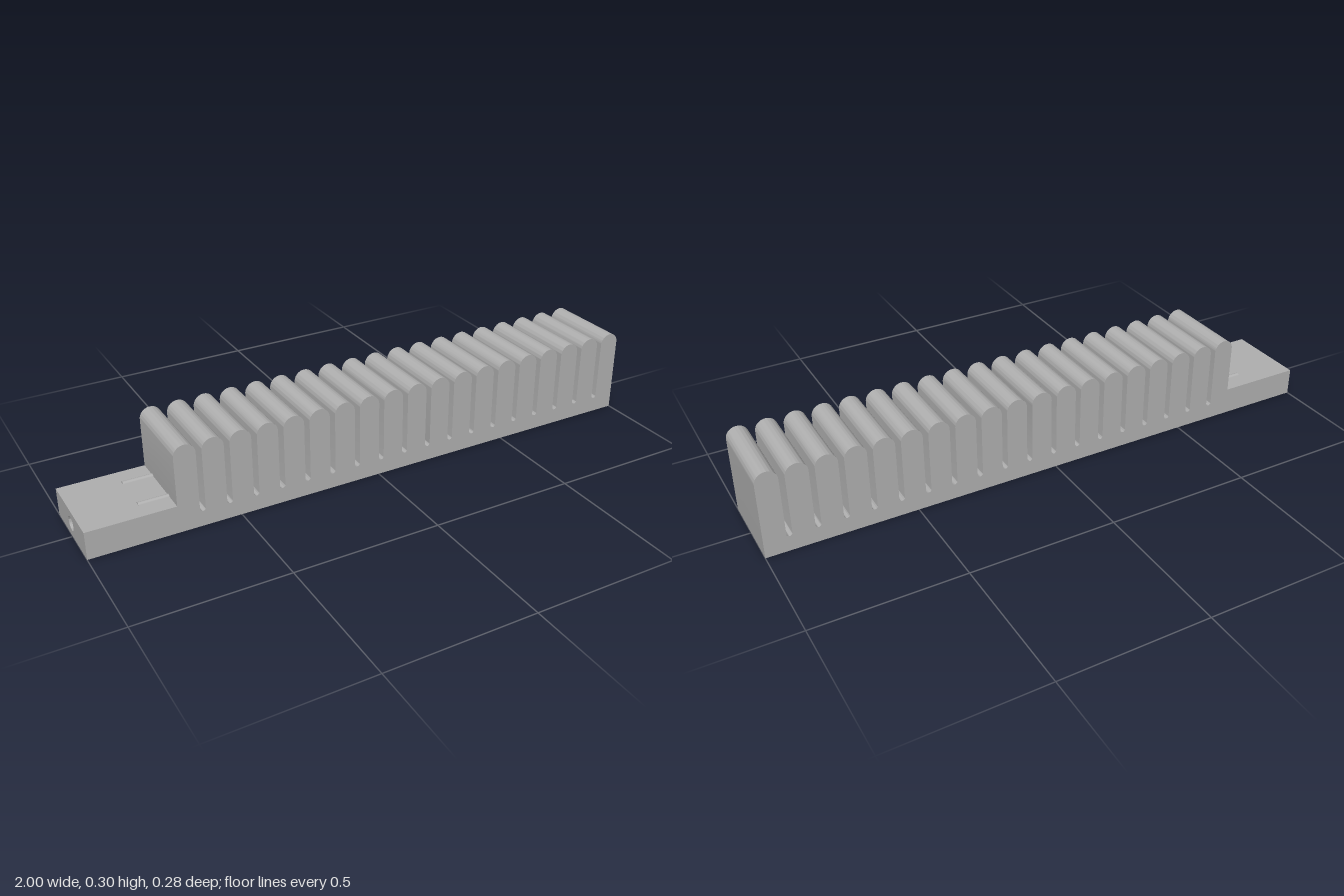
import * as THREE from 'three';
import { toCreasedNormals } from 'three/addons/utils/BufferGeometryUtils.js';

const HALF_DEPTH = 0.142, BASE_TOP = 0.095, TOP = 0.299;
const FINS = 19, FIN_W = 0.072, GAP = 0.019, SLOT_FLOOR = 0.053;
const JOINT_X = -0.84; // where the drilled end block meets the finned body

export function createModel() {
  const group = new THREE.Group();
  group.name = 'finnedBlock';
  const grey = new THREE.MeshStandardMaterial({ color: 0xb0b0b0 });
  grey.name = 'grey';

  const add = (geometry, name) => {
    const mesh = new THREE.Mesh(geometry, grey);
    mesh.name = name;
    group.add(mesh);
    return mesh;
  };
  const extrude = (shape, depth) =>
    new THREE.ExtrudeGeometry(shape, { depth, bevelEnabled: false, curveSegments: 20 });

  // Finned body: round-topped fins with round-bottomed slots, traced from +x to -x
  const r = FIN_W / 2, slotR = GAP / 2;
  const profile = new THREE.Shape();
  profile.moveTo(JOINT_X, 0);
  profile.lineTo(1, 0);
  for (let i = 0; i < FINS; i++) {
    const cx = 1 - r - i * (FIN_W + GAP);
    profile.absarc(cx, TOP - r, r, 0, Math.PI, false);
    if (i < FINS - 1) profile.absarc(cx - r - slotR, SLOT_FLOOR + slotR, slotR, 0, Math.PI, true);
  }
  profile.lineTo(-0.71, BASE_TOP);
  profile.lineTo(JOINT_X, BASE_TOP);
  const body = extrude(profile, HALF_DEPTH * 2).translate(0, 0, -HALF_DEPTH);
  add(toCreasedNormals(body, 0.6), 'finnedBody');

  // End block with a blind hole in its end face
  const face = new THREE.Shape();
  face.moveTo(-HALF_DEPTH, 0);
  face.lineTo(HALF_DEPTH, 0);
  face.lineTo(HALF_DEPTH, BASE_TOP);
  face.lineTo(-HALF_DEPTH, BASE_TOP);
  face.closePath();
  const hole = new THREE.Path();
  hole.absarc(0, BASE_TOP / 2, 0.024, 0, Math.PI * 2, true);
  face.holes.push(hole);
  const end = extrude(face, JOINT_X + 1).rotateY(Math.PI / 2).translate(-1, 0, 0);
  add(toCreasedNormals(end, 0.6), 'drilledEnd');

  // Two thin pins half sunk in the ledge
  for (const side of [-1, 1]) {
    const pin = add(new THREE.CylinderGeometry(0.01, 0.01, 0.11, 16), side > 0 ? 'frontPin' : 'backPin');
    pin.rotation.z = Math.PI / 2;
    pin.position.set(-0.755, 0.091, side * 0.07);
  }
  return group;
}
